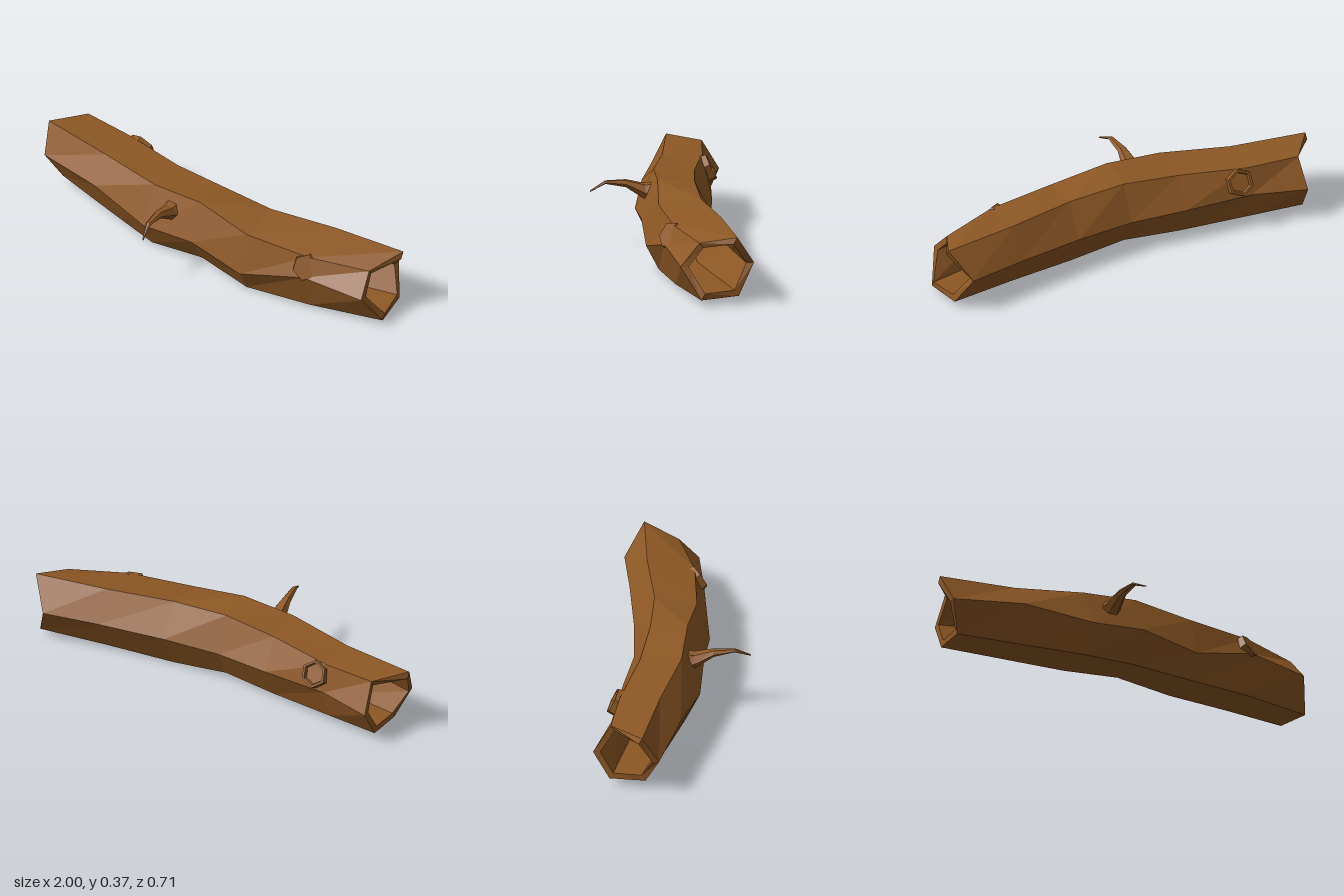
import * as THREE from 'three';

const bark = new THREE.MeshStandardMaterial({ color: 0x8e5825 });
bark.name = 'barkBrown';

// Skin a list of rings (equal point counts) with flat faceted quads
function loft(name, rings) {
  const pos = [];
  for (let i = 0; i < rings.length - 1; i++) {
    const p = rings[i], q = rings[i + 1], n = p.length;
    for (let j = 0; j < n; j++) {
      const k = (j + 1) % n;
      for (const v of [p[j], q[j], q[k], p[j], q[k], p[k]]) pos.push(v.x, v.y, v.z);
    }
  }
  const geo = new THREE.BufferGeometry();
  geo.setAttribute('position', new THREE.Float32BufferAttribute(pos, 3));
  geo.computeVertexNormals();
  const mesh = new THREE.Mesh(geo, bark);
  mesh.name = name;
  return mesh;
}

// Six long ridges of the log, sampled at shared stations; ends are ragged
const stations = [-0.93, -0.62, -0.28, 0, 0.29, 0.63, 0.95];
const ridges = [
  { ends: [-0.97, 0.94], y: [0.185, 0.205, 0.155, 0.18, 0.12, 0.215, 0.185], z: [-0.03, 0.05, 0.12, 0.12, 0.127, 0.075, 0.03] }, // front
  { ends: [-1, 0.92], y: [0.33, 0.33, 0.35, 0.37, 0.32, 0.31, 0.295], z: [-0.11, -0.05, 0.03, 0.04, 0.065, 0.03, -0.065] }, // top front
  { ends: [-0.88, 1], y: [0.325, 0.325, 0.34, 0.358, 0.347, 0.345, 0.34], z: [-0.27, -0.245, -0.17, -0.14, -0.14, -0.2, -0.24] }, // top back
  { ends: [-0.89, 0.91], y: [0.18, 0.19, 0.185, 0.18, 0.185, 0.19, 0.19], z: [-0.355, -0.285, -0.255, -0.22, -0.24, -0.285, -0.33] }, // back
  { ends: [-0.9, 0.97], y: [0.04, 0.03, 0.015, 0.03, 0, 0.02, 0.04], z: [-0.275, -0.23, -0.17, -0.14, -0.14, -0.19, -0.25] }, // bottom back
  { ends: [-0.91, 1], y: [0.04, 0.025, 0.01, 0.03, 0, 0.015, 0.03], z: [-0.1, -0.03, 0.05, 0.03, 0.065, 0.02, -0.065] }, // bottom front
];

function hollowLog() {
  const last = stations.length - 1;
  const outer = stations.map((x, i) => ridges.map(r =>
    new THREE.Vector3(i === 0 ? r.ends[0] : i === last ? r.ends[1] : x, r.y[i], r.z[i])));
  // Inner wall: each ring shrunk towards its own centre
  const inner = outer.map(ring => {
    const c = ring.reduce((s, v) => s.add(v), new THREE.Vector3()).divideScalar(ring.length);
    return ring.map(v => new THREE.Vector3(v.x, c.y + (v.y - c.y) * 0.79, c.z + (v.z - c.z) * 0.79));
  });
  return loft('hollowLog', [...outer, ...inner.reverse(), outer[0]]);
}

// Short hexagonal knot; profile is [height, radius] along its axis
function knot(name, centre, axis, profile) {
  const rings = profile.map(([h, r]) => Array.from({ length: 6 }, (_, j) => {
    const a = j * Math.PI / 3;
    return new THREE.Vector3(h, r * Math.sin(a), r * Math.cos(a));
  }));
  const mesh = loft(name, rings);
  mesh.position.set(...centre);
  mesh.quaternion.setFromUnitVectors(new THREE.Vector3(1, 0, 0), new THREE.Vector3(...axis).normalize());
  return mesh;
}

// Bent twig tapering forwards; rows are [x, y, z, half width, half height]
function twig() {
  const path = [
    [-0.155, 0.265, 0.03, 0.052, 0.052],
    [-0.155, 0.273, 0.085, 0.045, 0.036],
    [-0.153, 0.316, 0.178, 0.024, 0.017],
    [-0.142, 0.327, 0.278, 0.014, 0.007],
    [-0.12, 0.29, 0.354, 0.004, 0.003],
    [-0.12, 0.29, 0.355, 0, 0],
  ];
  return loft('twig', path.map(([x, y, z, w, h]) => Array.from({ length: 6 }, (_, j) => {
    const a = j * Math.PI / 3;
    return new THREE.Vector3(x - w * Math.cos(a), y + h * Math.sin(a) / 0.866, z);
  })));
}

export function createModel() {
  const log = new THREE.Group();
  log.name = 'log';
  log.add(
    hollowLog(),
    twig(),
    knot('frontKnot', [0.632, 0.265, 0.055], [0.45, 0.45, 0.77],
      [[-0.06, 0.07], [0, 0.066], [0, 0]]),
    knot('backKnot', [-0.565, 0.27, -0.268], [0.05, 0.42, -0.9],
      [[-0.05, 0.075], [0.016, 0.068], [0.016, 0.056], [0, 0.05], [0, 0]]),
  );
  return log;
}
